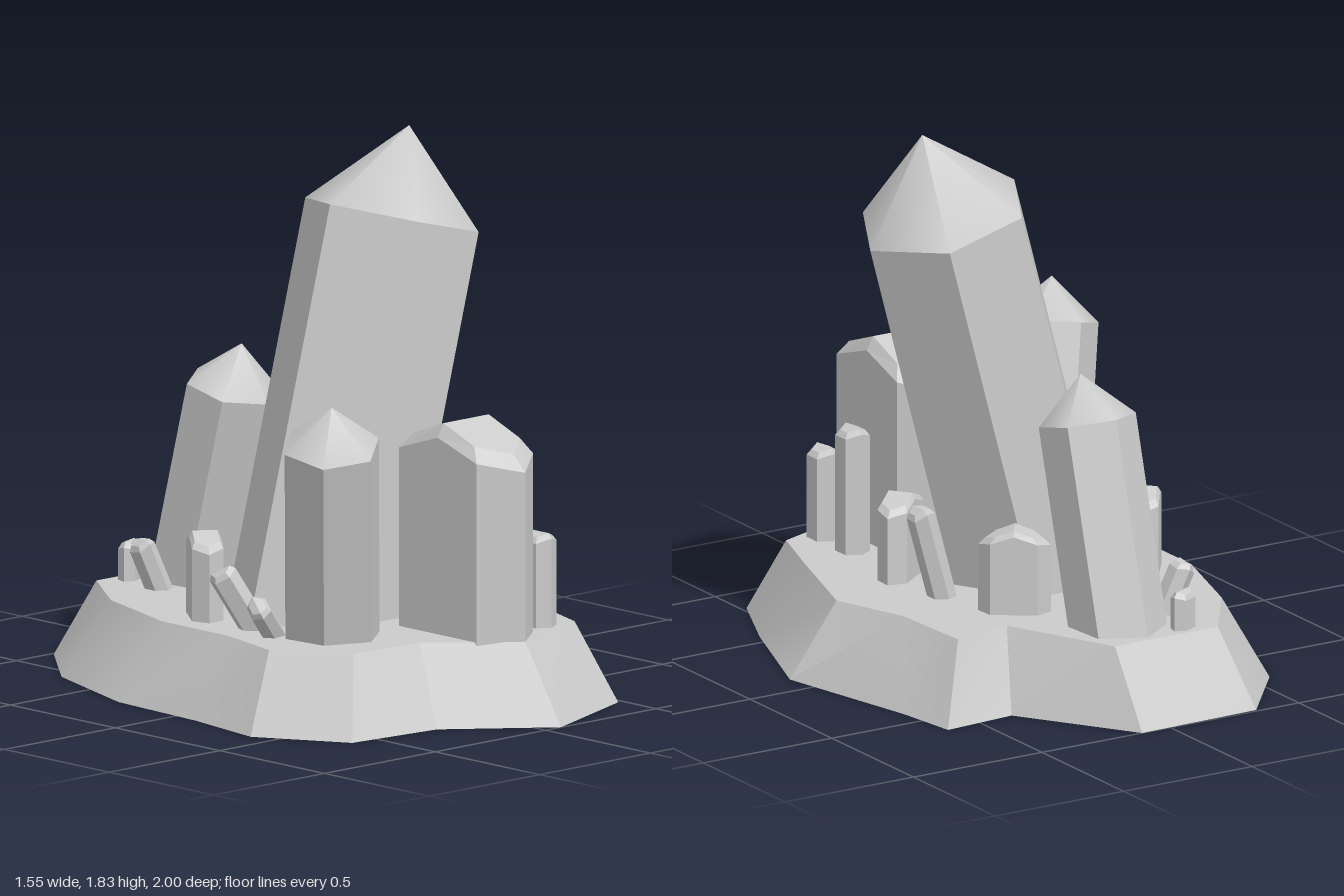
import * as THREE from 'three';
import { toCreasedNormals } from 'three/addons/utils/BufferGeometryUtils.js';

const TOP = 0.26; // height of the rock's upper surface
const flat = new THREE.MeshStandardMaterial({ color: 0xcccccc, flatShading: true });
const smooth = new THREE.MeshStandardMaterial({ color: 0xcccccc });
const UP = new THREE.Vector3(0, 1, 0);

function fromTriangles(points, index) {
  const g = new THREE.BufferGeometry();
  g.setAttribute('position', new THREE.Float32BufferAttribute(points.flat(), 3));
  g.setIndex(index);
  return g;
}

// Quads joining ring a to ring b, both n points, counter-clockwise from above
function band(index, a, b, n) {
  for (let i = 0; i < n; i++) {
    const j = (i + 1) % n;
    index.push(a + i, a + j, b + j, a + i, b + j, b + i);
  }
}

// Irregular rock slab with sloping sides
function rockBase() {
  const lower = [[-0.34, -0.99], [0.11, -1], [0.37, -0.61], [0.63, -0.63], [0.66, -0.41],
    [0.775, 0.11], [0.61, 0.555], [0.48, 0.84], [0.07, 1], [-0.25, 0.745], [-0.6, 0.71],
    [-0.775, 0.41], [-0.73, 0.1], [-0.71, -0.29], [-0.57, -0.71]].reverse();
  const upper = [[-0.28, -0.85], [0.12, -0.85], [0.3, -0.47], [0.515, -0.51], [0.53, -0.2],
    [0.625, 0.06], [0.5, 0.45], [0.415, 0.7], [0.07, 0.83], [-0.19, 0.6], [-0.47, 0.58],
    [-0.63, 0.345], [-0.57, 0.08], [-0.57, -0.23], [-0.46, -0.59]].reverse();
  const n = lower.length;
  const points = [...lower.map(([x, z]) => [x, 0, z]), ...upper.map(([x, z]) => [x, TOP, z])];
  const index = [];
  band(index, 0, n, n);
  const cap = (ring) => THREE.ShapeUtils.triangulateShape(ring.map(([x, z]) => new THREE.Vector2(x, -z)), []);
  for (const [a, b, c] of cap(upper)) index.push(n + a, n + b, n + c);
  for (const [a, b, c] of cap(lower)) index.push(a, c, b);
  const mesh = new THREE.Mesh(toCreasedNormals(fromTriangles(points, index), 0.5), smooth);
  mesh.name = 'rockBase';
  return mesh;
}

// Stands an object on the rock at (x, z), leaning toward a tip point
function lean(object, [x, z], tip) {
  const foot = new THREE.Vector3(x, TOP, z);
  const axis = new THREE.Vector3(...tip).sub(foot);
  object.position.copy(foot);
  object.quaternion.setFromUnitVectors(UP, axis.normalize());
  return object;
}

// Six-sided crystal with a softly shaded pyramid tip
function pointedCrystal(name, foot, tip, radius, cap, yaw, stretch = 1) {
  const bury = 0.12;
  const length = Math.hypot(tip[0] - foot[0], tip[1] - TOP, tip[2] - foot[1]);
  const bodyLength = length - cap + bury;
  const body = new THREE.CylinderGeometry(radius, radius, bodyLength, 6)
    .translate(0, bodyLength / 2 - bury, 0);
  const point = new THREE.ConeGeometry(radius, cap, 6, 1, true)
    .translate(0, length - cap / 2, 0);
  const group = new THREE.Group();
  group.name = name;
  for (const [part, g, material] of [['Shaft', body, flat], ['Tip', point, smooth]]) {
    g.rotateY(yaw).scale(1, 1, stretch);
    const mesh = new THREE.Mesh(part === 'Tip' ? toCreasedNormals(g, 0.9) : g, material);
    mesh.name = name + part;
    group.add(mesh);
  }
  return lean(group, foot, tip);
}

// Six-sided crystal with a bevelled, roof-shaped end.
// hx, hz: half sizes; sz: half length of the long sides; ridge: axis of the roof line
function ridgedCrystal(name, { foot, tip, hx, hz, sz, yaw = 0, ridge = 'x', drop = 0.5, bevel = 0.045, inset = 0.8 }) {
  const length = Math.hypot(tip[0] - foot[0], tip[1] - TOP, tip[2] - foot[1]);
  const ring = [[hx, 0], [hx, -sz], [0, -hz], [-hx, -sz], [-hx, 0], [-hx, sz], [0, hz], [hx, sz]];
  const fall = ([x, z]) => Math.abs(ridge === 'x' ? z : x);
  const points = [
    ...ring.map(([x, z]) => [x, -0.06, z]),
    ...ring.map((p) => [p[0], length - bevel - drop * 0.66 * fall(p), p[1]]),
    ...ring.map((p) => [p[0] * inset, length - drop * 0.76 * fall(p) * inset, p[1] * inset]),
  ];
  const index = [];
  band(index, 0, 8, 8);
  band(index, 8, 16, 8);
  // Two roof planes, each a fan from one end of the ridge
  for (const start of ridge === 'x' ? [0, 4] : [2, 6]) {
    for (let k = 1; k < 4; k++) {
      index.push(16 + start, 16 + (start + k) % 8, 16 + (start + k + 1) % 8);
    }
  }
  const g = fromTriangles(points, index).rotateY(yaw);
  g.computeVertexNormals();
  const mesh = new THREE.Mesh(g, flat);
  mesh.name = name;
  return lean(mesh, foot, tip);
}

export function createModel() {
  const model = new THREE.Group();
  model.name = 'crystalCluster';
  model.add(rockBase());

  // Three large pointed crystals
  model.add(
    pointedCrystal('mainCrystal', [-0.093, 0], [0.33, 1.83, 0], 0.29, 0.3, Math.PI / 2, 1.06),
    pointedCrystal('sideCrystal', [-0.315, 0.315], [-0.485, 1.075, 0.49], 0.165, 0.145, 0.12),
    pointedCrystal('backCrystal', [-0.01, -0.66], [0.005, 1.075, -0.457], 0.162, 0.155, 0.08),
  );

  // Thick upright crystal at the front
  model.add(ridgedCrystal('frontCrystal', {
    foot: [0.073, 0.543], tip: [0.073, 0.965, 0.543], hx: 0.128, hz: 0.283, sz: 0.185,
  }));

  // Broad short crystals: x, z, turn
  [[0.19, -0.345, 0.95], [-0.41, -0.195, -0.63], [0.3, 0.18, -0.93]].forEach(([x, z, yaw], i) => {
    model.add(ridgedCrystal('broadCrystal' + (i + 1), {
      foot: [x, z], tip: [x, 0.548, z], hx: 0.052, hz: 0.12, sz: 0.078, yaw, bevel: 0.02,
    }));
  });

  // Slim crystals: foot, tip, half sizes, turn
  [
    [[0.29, 0.49], [0.29, 0.69, 0.49], 0.047, 0.058, 0],
    [[0.29, 0.665], [0.29, 0.575, 0.665], 0.047, 0.058, 0],
    [[0.305, -0.08], [0.395, 0.578, -0.08], 0.04, 0.046, 0],
    [[-0.43, 0.07], [-0.525, 0.46, 0.0], 0.034, 0.05, 0.6],
    [[-0.445, 0.17], [-0.58, 0.385, 0.232], 0.034, 0.05, -0.5],
    [[-0.215, -0.62], [-0.285, 0.43, -0.64], 0.036, 0.045, 0],
    [[-0.18, -0.795], [-0.18, 0.39, -0.795], 0.03, 0.053, -1.15],
  ].forEach(([foot, tip, hx, hz, yaw], i) => {
    model.add(ridgedCrystal('slimCrystal' + (i + 1), {
      foot, tip, hx, hz, sz: hz * 0.55, yaw, ridge: 'z', bevel: 0.016, inset: 0.72,
    }));
  });

  return model;
}
